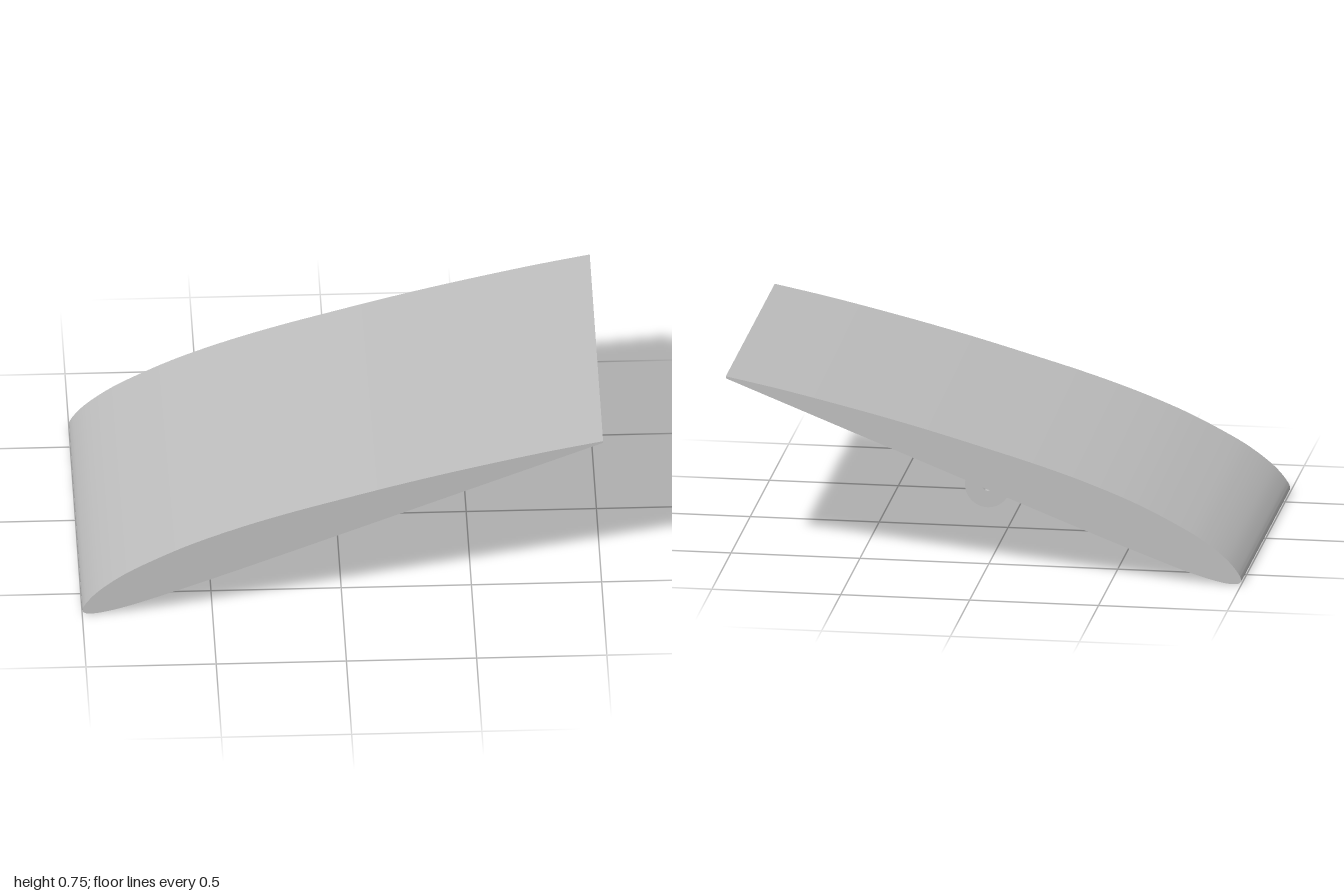
import * as THREE from 'three';
import { toCreasedNormals } from 'three/addons/utils/BufferGeometryUtils.js';

const PITCH = 0.375; // tilt of the flat underside, radians

// Extrude a shape along z, centred on z = 0, smooth around its curves
function slab(shape, depth, curveSegments) {
  const geo = new THREE.ExtrudeGeometry(shape, { depth, bevelEnabled: false, curveSegments });
  geo.translate(0, 0, -depth / 2);
  return toCreasedNormals(geo, 0.6);
}

export function createModel() {
  const model = new THREE.Group();
  const grey = new THREE.MeshStandardMaterial({ color: 0xbfbfbf });
  grey.name = 'grey';

  const add = (name, geometry) => {
    const mesh = new THREE.Mesh(geometry, grey);
    mesh.name = name;
    model.add(mesh);
    return mesh;
  };

  // Wing section: curved top, round nose, flat underside, thin blunt trailing edge
  const profile = new THREE.Shape();
  profile.moveTo(1, 0.746);
  profile.splineThru([
    [0.8, 0.706], [0.6, 0.661], [0.4, 0.613], [0.2, 0.561], [0, 0.505], [-0.2, 0.447],
    [-0.4, 0.381], [-0.6, 0.302], [-0.78, 0.212], [-0.87, 0.156], [-0.94, 0.1],
    [-0.982, 0.052], [-0.999, 0.02], [-0.993, 0.005], [-0.967, 0], [-0.91, 0.008],
    [-0.8, 0.039], [-0.6, 0.111], [-0.4, 0.187], [-0.2, 0.265],
  ].map(([x, y]) => new THREE.Vector2(x, y)));
  profile.lineTo(1, 0.738);
  profile.closePath();
  add('wing', slab(profile, 1.274, 5));

  // Hinge barrel with a pin hole through it
  const cx = 0.067, cy = 0.19;
  const ring = new THREE.Shape().absarc(0, 0, 0.088, 0, Math.PI * 2, false);
  ring.holes.push(new THREE.Path().absarc(0, 0, 0.022, 0, Math.PI * 2, true));
  add('hingeBarrel', slab(ring, 0.168, 24)).position.set(cx, cy, 0);

  // Post square to the underside, joining barrel and wing
  const post = add('hingePost', new THREE.BoxGeometry(0.086, 0.14, 0.11));
  const reach = 0.12;
  post.position.set(cx - Math.sin(PITCH) * reach, cy + Math.cos(PITCH) * reach, 0);
  post.rotation.z = PITCH;

  return model;
}
